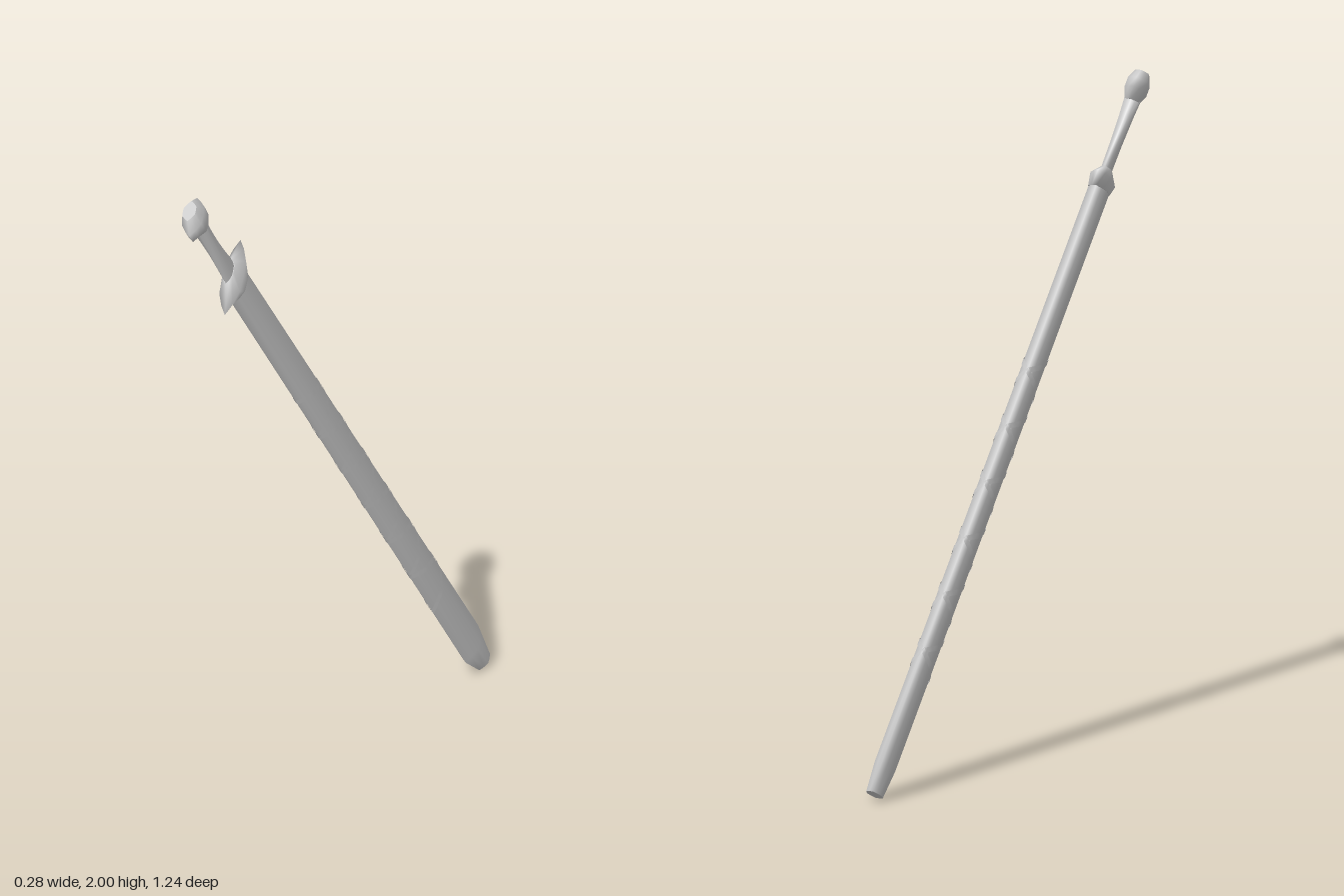
import * as THREE from 'three';

// Quarter of the unit lens section, mirrored into a closed loop
const quarter = [[1, 0], [0.75, 0.53], [0.4, 1], [0, 1.05]];
const lens = [
  ...quarter,
  ...quarter.slice(0, 3).reverse().map(([x, z]) => [-x, z]),
  ...quarter.slice(1).map(([x, z]) => [-x, -z]),
  ...quarter.slice(1, 3).reverse().map(([x, z]) => [x, -z]),
];
const N = lens.length;

function lensAt(t) {
  const f = ((t % 1) + 1) % 1 * N, i = Math.floor(f), k = f - i;
  const p = lens[i % N], q = lens[(i + 1) % N];
  return [p[0] + (q[0] - p[0]) * k, p[1] + (q[1] - p[1]) * k];
}

function build(pos, idx) {
  const g = new THREE.BufferGeometry();
  g.setAttribute('position', new THREE.Float32BufferAttribute(pos, 3));
  g.setIndex(idx);
  g.computeVertexNormals();
  return g;
}

// Lofts lens sections [height, half width, half thickness] and caps both ends
function loft(rings) {
  const pos = [], idx = [];
  const addRing = ([y, a, b]) => lens.forEach(([x, z]) => pos.push(x * a, y, z * b));
  rings.forEach(addRing);
  for (let r = 0; r < rings.length - 1; r++) {
    for (let i = 0; i < N; i++) {
      const p = r * N + i, q = r * N + (i + 1) % N;
      idx.push(p, p + N, q, q, p + N, q + N);
    }
  }
  for (const top of [false, true]) {
    const ring = top ? rings[rings.length - 1] : rings[0];
    const start = pos.length / 3;
    addRing(ring);
    pos.push(0, ring[0], 0);
    for (let i = 0; i < N; i++) {
      const p = start + i, q = start + (i + 1) % N;
      idx.push(start + N, top ? q : p, top ? p : q);
    }
  }
  return build(pos, idx);
}

// Flat strap wound around the scabbard
function strap(direction, from, to, turns, width) {
  const pos = [], idx = [], steps = turns * N * 2;
  for (let i = 0; i <= steps; i++) {
    const k = i / steps, y = from + (to - from) * k;
    const [x, z] = lensAt(direction * turns * k);
    const a = 0.0705 - 0.003 * y + 0.002;
    for (const s of [-1, 1]) pos.push(x * a, y + s * width / 2, z * 0.0305);
    if (i < steps) idx.push(2 * i, 2 * i + 2, 2 * i + 1, 2 * i + 1, 2 * i + 2, 2 * i + 3);
  }
  return build(pos, idx);
}

export function createModel() {
  const model = new THREE.Group();
  const sword = new THREE.Group();
  sword.name = 'sheathedSword';
  const grey = new THREE.MeshStandardMaterial({ color: 0xcccccc });
  const thin = new THREE.MeshStandardMaterial({ color: 0xcccccc, side: THREE.DoubleSide });
  const add = (name, geometry, material = grey) => {
    const mesh = new THREE.Mesh(geometry, material);
    mesh.name = name;
    sword.add(mesh);
  };

  // Scabbard with a blunt chamfered tip
  add('scabbard', loft([[-1.92, 0.04, 0.024], [-1.83, 0.076, 0.0285], [-1.2, 0.074, 0.0285], [0.01, 0.0705, 0.0285]]));

  // Crossing straps
  add('strapLeft', strap(1, -1.57, -0.5, 6, 0.018), thin);
  add('strapRight', strap(-1, -1.57, -0.5, 6, 0.018), thin);

  // Guard with pointed ends
  add('guard', loft([[0, 0.072, 0.03], [0.035, 0.135, 0.033], [0.068, 0.046, 0.016]]));

  // Grip: wide at the guard, thicker at the pommel
  add('grip', loft([[0.05, 0.047, 0.014], [0.15, 0.036, 0.016], [0.24, 0.026, 0.02], [0.31, 0.022, 0.025]]));

  // Pommel
  add('pommel', loft([[0.285, 0.026, 0.022], [0.315, 0.069, 0.031], [0.345, 0.069, 0.031], [0.375, 0.036, 0.02]]));

  // Lean the sword: x follows the wide side, y the blade axis
  const up = new THREE.Vector3(-0.1116, 1, 0.597).normalize();
  const wide = new THREE.Vector3(0.37, -0.444, 0.815);
  wide.addScaledVector(up, -wide.dot(up)).normalize();
  const side = new THREE.Vector3().crossVectors(wide, up);
  sword.quaternion.setFromRotationMatrix(new THREE.Matrix4().makeBasis(wide, up, side));
  sword.position.set(-0.078, 1.67, 0.4);
  model.add(sword);
  return model;
}
